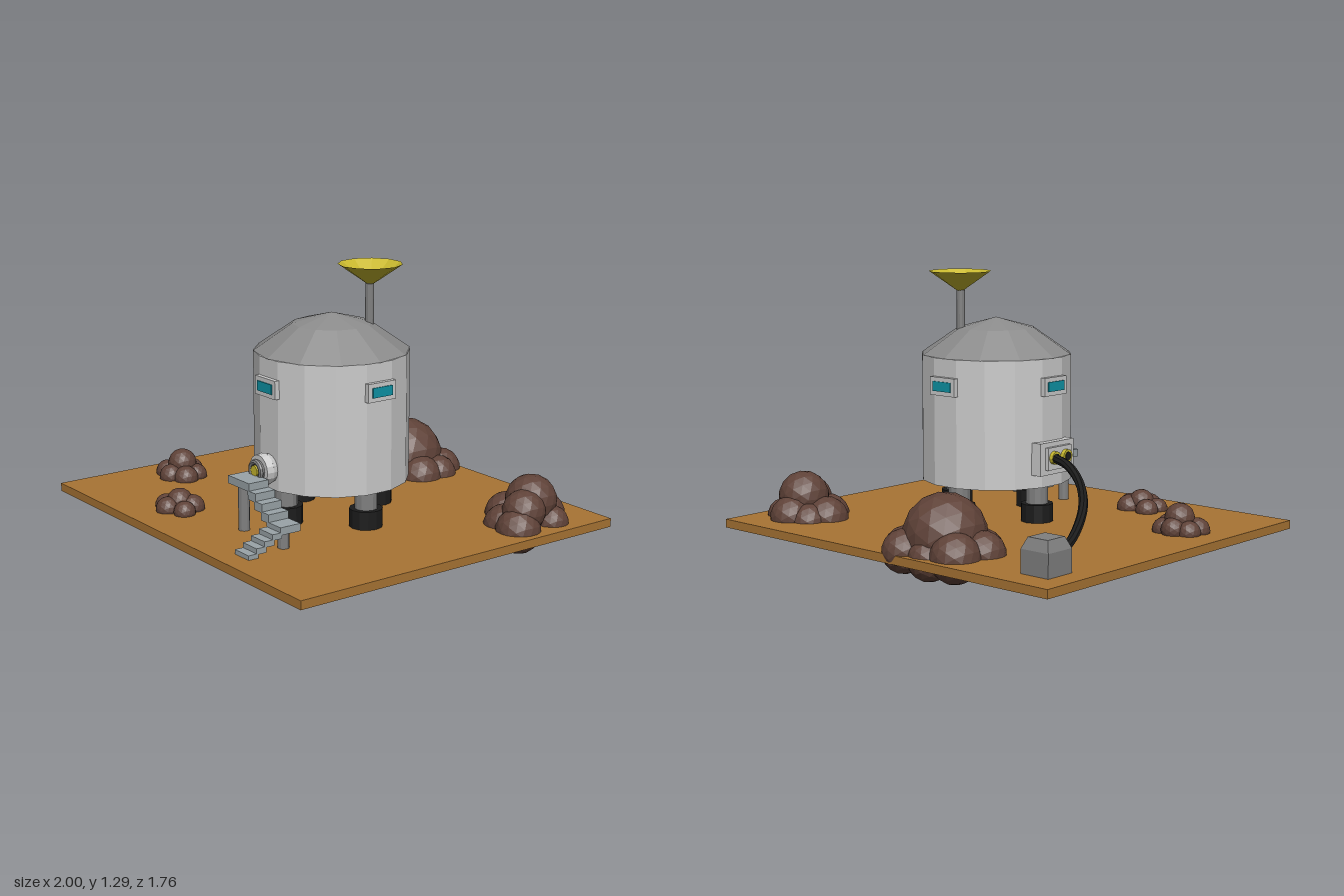
import * as THREE from 'three';

const mat = (color, side = THREE.FrontSide) =>
  new THREE.MeshStandardMaterial({ color, flatShading: true, side });
const GREY = mat(0xcccccc), ROOF = mat(0x8c8c8c), BLACK = mat(0x1c1c1c), SOIL = mat(0xa87434);
const ROCK = mat(0x5f4238), GLASS = mat(0x0e93a5), STEP = mat(0x9aa4a8);
const STEEL = mat(0x808080), YELLOW = mat(0xc9b92f), DISH = mat(0xc9b92f, THREE.DoubleSide);

function add(parent, name, geometry, material, x = 0, y = 0, z = 0) {
  const m = new THREE.Mesh(geometry, material);
  m.name = name;
  m.position.set(x, y, z);
  parent.add(m);
  return m;
}

// Box given by its limits
function block(parent, name, material, x0, x1, y0, y1, z0, z1) {
  return add(parent, name, new THREE.BoxGeometry(x1 - x0, y1 - y0, z1 - z0), material,
    (x0 + x1) / 2, (y0 + y1) / 2, (z0 + z1) / 2);
}

// Upright cylinder from y0 to y1
function post(parent, name, material, x, z, r, y0, y1, sides = 12) {
  return add(parent, name, new THREE.CylinderGeometry(r, r, y1 - y0, sides), material, x, (y0 + y1) / 2, z);
}

// Cylinder lying along z
function disc(parent, name, material, rBack, rFront, length, x, y, z, sides = 16) {
  const g = new THREE.CylinderGeometry(rFront, rBack, length, sides).rotateX(Math.PI / 2);
  return add(parent, name, g, material, x, y, z);
}

const CX = 0.147, CZ = 0.085, FLOOR = 0.13;

function buildTank() {
  const g = new THREE.Group();
  g.name = 'habitat';
  g.position.set(CX, 0, CZ);
  // Sixteen-sided wall with a flat on each axis
  const wall = post(g, 'wall', GREY, 0, 0, 0.357, 0.307, 0.905, 16);
  wall.rotation.y = Math.PI / 16;
  // Faceted dome
  const profile = [[0, 0.9], [0.358, 0.905], [0.182, 1.026], [0, 1.075]].map(p => new THREE.Vector2(...p));
  add(g, 'roof', new THREE.LatheGeometry(profile, 12), ROOF);

  // A leg and a window on each of the four sides
  for (let i = 0; i < 4; i++) {
    const side = new THREE.Group();
    side.name = 'side' + (i + 1);
    side.rotation.y = i * Math.PI / 2;
    g.add(side);
    post(side, 'leg', STEEL, 0, 0.258, 0.053, FLOOR, 0.31);
    post(side, 'foot', BLACK, 0, 0.258, 0.077, FLOOR, 0.215);
    for (const s of [-1, 1]) {
      block(side, 'windowFrameSide', GREY, s * 0.066 - 0.011, s * 0.066 + 0.011, 0.735, 0.82, 0.33, 0.371);
      block(side, 'windowFrameRail', GREY, -0.055, 0.055, 0.7775 + s * 0.0325 - 0.01, 0.7775 + s * 0.0325 + 0.01, 0.33, 0.371);
    }
    block(side, 'windowGlass', GLASS, -0.055, 0.055, 0.755, 0.8, 0.33, 0.376);
  }
  return g;
}

function buildHatch() {
  const g = new THREE.Group();
  g.name = 'hatch';
  disc(g, 'hatchCollar', GREY, 0.062, 0.074, 0.035, CX, 0.402, 0.442);
  disc(g, 'hatchRim', GREY, 0.074, 0.07, 0.035, CX, 0.402, 0.476);
  add(g, 'hatchRing', new THREE.TorusGeometry(0.04, 0.013, 8, 16), STEEL, CX, 0.402, 0.507);
  disc(g, 'hatchHub', STEEL, 0.05, 0.045, 0.02, CX, 0.402, 0.495);
  disc(g, 'hatchLight', YELLOW, 0.028, 0.025, 0.03, CX, 0.402, 0.505);
  return g;
}

function buildStairs() {
  const g = new THREE.Group();
  g.name = 'stairs';
  block(g, 'upperLanding', STEP, 0.075, 0.24, 0.345, 0.382, 0.505, 0.61);
  // First flight, along x
  for (let i = 0; i < 3; i++) {
    const x = 0.24 + i * 0.05, y = 0.348 - i * 0.035;
    block(g, 'upperStep', STEP, x - 0.01, x + 0.05, y - 0.04, y, 0.505, 0.61);
  }
  block(g, 'lowerLanding', STEP, 0.375, 0.48, 0.208, 0.243, 0.505, 0.61);
  // Second flight, towards the front
  for (let i = 0; i < 4; i++) {
    const z = 0.61 + i * 0.042, y = 0.22 - i * 0.023;
    block(g, 'lowerStep', STEP, 0.375, 0.48, y - 0.027, y, z - 0.008, z + 0.042);
  }
  post(g, 'upperPost', STEEL, 0.125, 0.56, 0.026, FLOOR, 0.35);
  post(g, 'lowerPost', STEEL, 0.43, 0.56, 0.026, FLOOR, 0.215);
  return g;
}

function buildSupply() {
  const g = new THREE.Group();
  g.name = 'supplyLine';
  // Wall socket box with two ports
  block(g, 'socketPlate', GREY, -0.236, -0.17, 0.37, 0.522, -0.035, 0.2);
  block(g, 'socketPanel', GREY, -0.254, -0.23, 0.395, 0.5, 0, 0.165);
  for (const z of [0.037, 0.118]) {
    const ring = disc(g, 'portRing', YELLOW, 0.031, 0.031, 0.022, -0.262, 0.452, z, 12);
    ring.rotation.y = -Math.PI / 2;
    const hole = disc(g, 'portHole', BLACK, 0.02, 0.02, 0.006, -0.273, 0.452, z, 12);
    hole.rotation.y = -Math.PI / 2;
  }
  // Hose sagging to the ground unit
  const path = [[-0.255, 0.452, 0.037], [-0.39, 0.437, -0.02], [-0.53, 0.385, -0.107], [-0.665, 0.318, -0.25],
    [-0.75, 0.25, -0.4], [-0.8, 0.215, -0.52], [-0.82, 0.205, -0.61]].map(p => new THREE.Vector3(...p));
  add(g, 'hose', new THREE.TubeGeometry(new THREE.CatmullRomCurve3(path), 28, 0.021, 8), BLACK);
  disc(g, 'hoseCollar', BLACK, 0.04, 0.04, 0.025, -0.82, 0.2, -0.588, 12);
  // Ground unit with a tapered cap
  block(g, 'unitBase', STEEL, -0.895, -0.745, FLOOR, 0.235, -0.75, -0.6);
  const cap = new THREE.CylinderGeometry(0.054 * Math.SQRT2, 0.075 * Math.SQRT2, 0.05, 4).rotateY(Math.PI / 4);
  add(g, 'unitCap', cap, STEEL, -0.82, 0.26, -0.675);
  return g;
}

function buildAntenna() {
  const g = new THREE.Group();
  g.name = 'antenna';
  post(g, 'mast', STEEL, 0.245, -0.055, 0.02, 0.98, 1.205);
  add(g, 'dish', new THREE.CylinderGeometry(0.148, 0.004, 0.1, 11, 1, true), DISH, 0.245, 1.245, -0.058);
  return g;
}

// Boulders per pile: x, y, z, radius
const PILES = {
  backRocks: [[-0.21, 0.195, -0.64, 0.19], [-0.36, 0.13, -0.735, 0.115], [-0.1, 0.13, -0.785, 0.1],
    [-0.04, 0.13, -0.605, 0.105], [-0.395, 0.13, -0.6, 0.105], [-0.31, 0.12, -0.51, 0.098],
    [-0.15, 0.12, -0.52, 0.1], [-0.23, 0.11, -0.76, 0.1], [-0.03, 0.13, -0.71, 0.09]],
  sideRocks: [[0.79, 0.225, -0.57, 0.12], [0.775, 0.14, -0.665, 0.1], [0.66, 0.13, -0.545, 0.105],
    [0.865, 0.125, -0.425, 0.105], [0.76, 0.12, -0.44, 0.1], [0.875, 0.13, -0.62, 0.08],
    [0.84, 0.2, -0.48, 0.1], [0.69, 0.12, -0.63, 0.09]],
  leftRocks: [[-0.76, 0.195, 0.33, 0.07], [-0.765, 0.15, 0.275, 0.058], [-0.83, 0.14, 0.37, 0.06],
    [-0.68, 0.14, 0.36, 0.06], [-0.75, 0.14, 0.4, 0.06], [-0.83, 0.14, 0.305, 0.055], [-0.7, 0.14, 0.29, 0.055]],
  frontRocks: [[-0.315, 0.165, 0.625, 0.062], [-0.385, 0.14, 0.575, 0.055], [-0.315, 0.14, 0.69, 0.057],
    [-0.225, 0.14, 0.655, 0.052], [-0.27, 0.14, 0.585, 0.06], [-0.385, 0.135, 0.655, 0.053]],
};

export function createModel() {
  const model = new THREE.Group();
  model.name = 'outpost';
  block(model, 'ground', SOIL, -1, 1, 0.09, FLOOR, -0.877, 0.88);
  model.add(buildTank(), buildHatch(), buildStairs(), buildSupply(), buildAntenna());
  for (const [name, boulders] of Object.entries(PILES)) {
    const pile = new THREE.Group();
    pile.name = name;
    for (const [x, y, z, r] of boulders) add(pile, 'boulder', new THREE.IcosahedronGeometry(r, 2), ROCK, x, y, z);
    model.add(pile);
  }
  return model;
}
